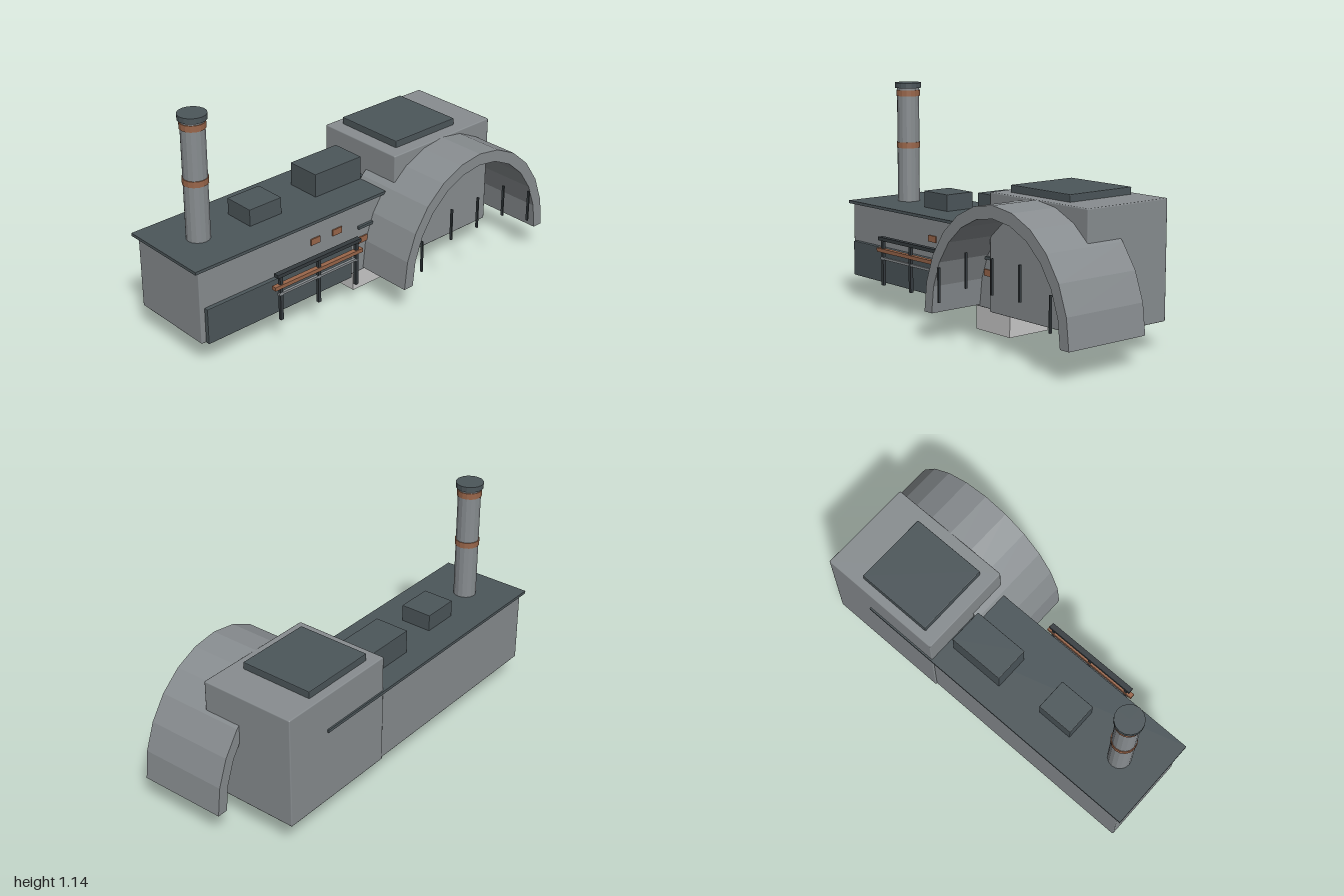
import * as THREE from 'three';
import { RoundedBoxGeometry } from 'three/addons/geometries/RoundedBoxGeometry.js';

export function createModel() {
  const model = new THREE.Group();
  model.name = 'factory';

  const paint = (name, color, flatShading = false) => {
    const m = new THREE.MeshStandardMaterial({ color, flatShading });
    m.name = name;
    return m;
  };
  const wall = paint('wallGrey', 0x888d90);
  const metal = paint('facetedGrey', 0x888d90, true);
  const slate = paint('darkSlate', 0x4c565a, true);
  const iron = paint('darkIron', 0x353b3f, true);
  const copper = paint('copper', 0x99664a, true);
  const stone = paint('paleStone', 0xc8c8c8, true);

  const add = (name, geometry, material, parent = model) => {
    const mesh = new THREE.Mesh(geometry, material);
    mesh.name = name;
    parent.add(mesh);
    return mesh;
  };
  // Box given by its limits on each axis; a bevel softens the edges
  const box = (name, material, [x0, x1], [y0, y1], [z0, z1], bevel = 0, parent = model) => {
    const size = [x1 - x0, y1 - y0, z1 - z0];
    const geometry = bevel
      ? new RoundedBoxGeometry(...size, 1, bevel)
      : new THREE.BoxGeometry(...size);
    const mesh = add(name, geometry, material, parent);
    mesh.position.set((x0 + x1) / 2, (y0 + y1) / 2, (z0 + z1) / 2);
    return mesh;
  };

  // Long hall, its overhanging roof and dark plinth
  box('hall', wall, [-0.975, 0.565], [0.13, 0.508], [-0.367, 0.085], 0.005);
  box('hallRoof', slate, [-1, 0.59], [0.505, 0.52], [-0.383, 0.1]);
  box('plinth', slate, [-0.95, -0.08], [0.128, 0.31], [0.03, 0.106], 0.004);
  box('smallRoofUnit', slate, [-0.56, -0.37], [0.515, 0.605], [-0.23, -0.065], 0.003);
  box('largeRoofUnit', slate, [-0.145, 0.15], [0.515, 0.64], [-0.262, -0.08], 0.003);

  // Tall block and roof slab
  box('tower', wall, [0.185, 0.842], [0.129, 0.7], [-0.375, 0.122], 0.006);
  box('towerRoof', slate, [0.256, 0.658], [0.695, 0.735], [-0.33, 0.055], 0.004);

  // Foundation block
  box('foundation', stone, [-0.01, 0.235], [0, 0.14], [-0.205, 0.04]);

  // Chimney with cap and copper bands
  const chimney = new THREE.Group();
  chimney.name = 'chimney';
  chimney.position.set(-0.797, 0, -0.145);
  model.add(chimney);
  const ring = (name, material, r, y0, y1) => {
    const mesh = add(name, new THREE.CylinderGeometry(r, r, y1 - y0, 16), material, chimney);
    mesh.position.y = (y0 + y1) / 2;
  };
  ring('stack', metal, 0.058, 0.515, 1.12);
  ring('lowerBand', copper, 0.062, 0.802, 0.832);
  ring('upperBand', copper, 0.062, 1.073, 1.104);
  ring('cap', slate, 0.069, 1.115, 1.142);

  // Faceted arched canopy
  const steps = 12;
  const shape = new THREE.Shape();
  const arc = (rx, ry, i) => [rx * Math.cos(Math.PI * i / steps), ry * Math.sin(Math.PI * i / steps)];
  shape.moveTo(0.493, 0);
  for (let i = 1; i <= steps; i++) shape.lineTo(...arc(0.493, 0.56, i));
  for (let i = steps; i >= 0; i--) shape.lineTo(...arc(0.438, 0.5, i));
  shape.closePath();
  const arch = add('archCanopy',
    new THREE.ExtrudeGeometry(shape, { depth: 0.455, bevelEnabled: false }), metal);
  arch.position.set(0.507, 0.14, -0.079);

  // Thin hanging rods at the mouth of the arch
  for (const [x, y] of [[0.125, 0.2], [0.323, 0.3], [0.505, 0.3], [0.69, 0.3], [0.886, 0.2]]) {
    box('archRod', iron, [x - 0.004, x + 0.004], [y, y + 0.165], [0.371, 0.383]);
  }

  // Pipe rack in front of the hall
  const rack = new THREE.Group();
  rack.name = 'pipeRack';
  model.add(rack);
  box('topRail', iron, [-0.61, -0.097], [0.37, 0.388], [0.163, 0.191], 0, rack);
  box('copperPipe', copper, [-0.625, -0.083], [0.31, 0.329], [0.165, 0.19], 0, rack);
  box('greyPipe', metal, [-0.6, -0.11], [0.273, 0.285], [0.17, 0.185], 0, rack);
  for (const x of [-0.585, -0.355, -0.118]) {
    box('rackPost', iron, [x - 0.008, x + 0.008], [0.14, 0.375], [0.169, 0.185], 0, rack);
  }

  // Wall rail and copper vents on the hall front
  box('wallRail', slate, [-0.025, 0.2], [0.37, 0.384], [0.08, 0.099]);
  for (const [x, y] of [[-0.295, 0.408], [-0.158, 0.408], [0.008, 0.304], [0.135, 0.304]]) {
    box('vent', copper, [x - 0.029, x + 0.029], [y - 0.016, y + 0.016], [0.083, 0.092]);
  }

  return model;
}
